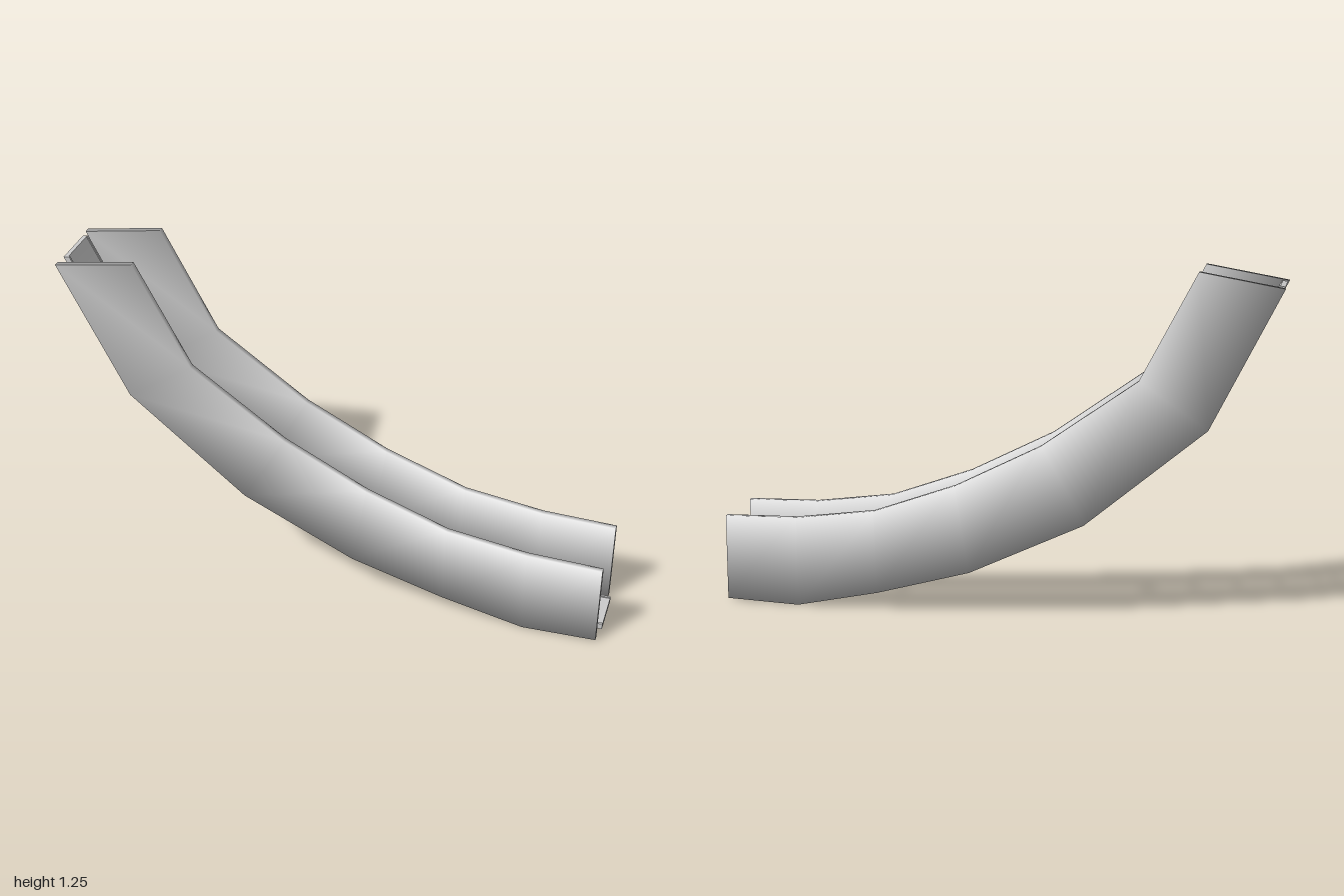
import * as THREE from 'three';
import { toCreasedNormals } from 'three/addons/utils/BufferGeometryUtils.js';

const material = new THREE.MeshStandardMaterial({ color: 0xcccccc });

// Slide profile: lower and upper edge of the side walls, from the top end down
const lower = [[-1, 1.2], [-0.755, 0.71], [-0.33, 0.355], [0.08, 0.16], [0.42, 0.065], [0.72, 0.001], [0.988, 0.01]];
const upper = [[-0.712, 1.25], [-0.515, 0.872], [-0.175, 0.63], [0.13, 0.475], [0.43, 0.367], [0.72, 0.328], [0.988, 0.322]];

// Rectangular bar along the slide, between fractions t0..t1 of the wall height
// and z0..z1; soft bars have shading rounded over the long edges
function sweep(name, t0, t1, z0, z1, soft, extend = 0) {
  const pos = [], nor = [], idx = [];
  const n = lower.length;
  const corners = [[t0, z0], [t0, z1], [t1, z1], [t1, z0]];
  const rings = lower.map((lo, i) => {
    const up = upper[i];
    const dx = up[0] - lo[0], dy = up[1] - lo[1], len = Math.hypot(dx, dy);
    const push = i === n - 1 ? extend : 0;
    return corners.map(([t, z]) => ({
      p: [lo[0] + dx * t + push, lo[1] + dy * t, z],
      n: new THREE.Vector3(dx / len * (t === t1 ? 1 : -1), dy / len * (t === t1 ? 1 : -1), z === z1 ? 1 : -1).normalize().toArray(),
    }));
  });
  rings.forEach((ring) => ring.forEach((c) => { pos.push(...c.p); nor.push(...c.n); }));
  for (let i = 0; i < n - 1; i++) {
    for (let k = 0; k < 4; k++) {
      const a = i * 4 + k, b = i * 4 + (k + 1) % 4;
      idx.push(a, a + 4, b + 4, a, b + 4, b);
    }
  }
  // flat end caps with their own corners
  [[0, -1], [n - 1, 1]].forEach(([i, side]) => {
    const s = pos.length / 3;
    rings[i].forEach((c) => { pos.push(...c.p); nor.push(side, 0, 0); });
    if (side < 0) idx.push(s, s + 1, s + 2, s, s + 2, s + 3);
    else idx.push(s, s + 2, s + 1, s, s + 3, s + 2);
  });
  let geo = new THREE.BufferGeometry();
  geo.setAttribute('position', new THREE.Float32BufferAttribute(pos, 3));
  geo.setAttribute('normal', new THREE.Float32BufferAttribute(nor, 3));
  geo.setIndex(idx);
  if (!soft) geo = toCreasedNormals(geo, 0.7);
  const mesh = new THREE.Mesh(geo, material);
  mesh.name = name;
  return mesh;
}

export function createModel() {
  const group = new THREE.Group();
  group.name = 'slide';

  // Two side walls
  group.add(sweep('leftWall', 0, 1, 0.117, 0.138, true));
  group.add(sweep('rightWall', 0, 1, -0.138, -0.117, true));

  // Sliding bed, with a gap to each wall
  group.add(sweep('bed', 0.015, 0.075, -0.076, 0.07, false, 0.012));

  // Thin lips along both edges of the bed
  group.add(sweep('leftLip', 0.015, 0.088, 0.07, 0.078, false, 0.012));
  group.add(sweep('rightLip', 0.015, 0.088, -0.084, -0.076, false, 0.012));

  return group;
}
